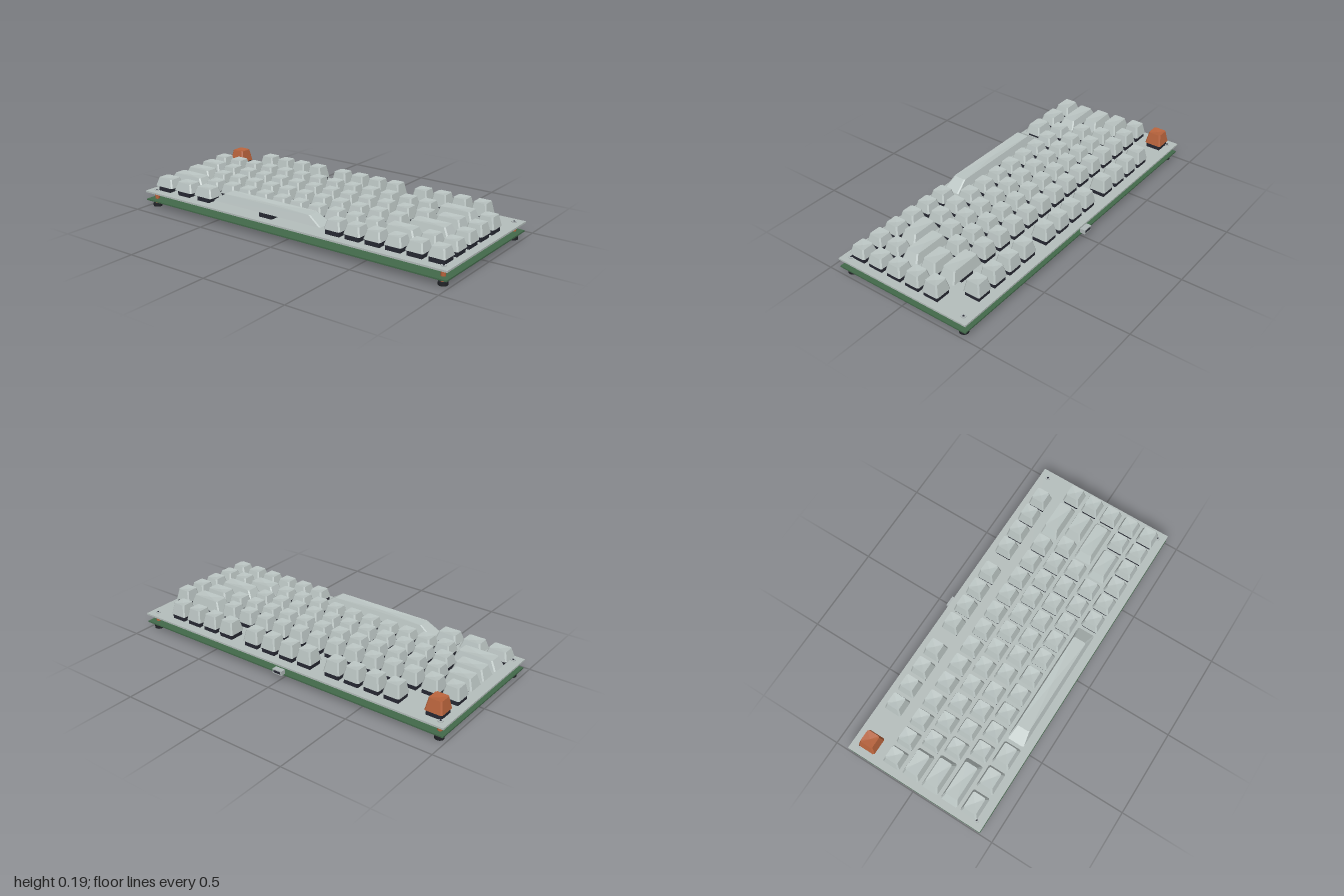
import * as THREE from 'three';

const mat = (name, color) => {
  const m = new THREE.MeshStandardMaterial({ color });
  m.name = name;
  return m;
};

const U = 0.1215; // key pitch
const CAP_BASE = 0.123;

// Tapered keycap: chamfered rectangle lofted to a smaller one, with a dished top
function capGeometry(width, depth, height) {
  const ring = (hx, hz, c, y) => [
    [hx, y, hz - c], [hx, y, c - hz], [hx - c, y, -hz], [c - hx, y, -hz],
    [-hx, y, c - hz], [-hx, y, hz - c], [c - hx, y, hz], [hx - c, y, hz],
  ];
  const low = ring(width / 2, depth / 2, 0.007, 0);
  const high = ring(width * 0.4 - 0.003, depth * 0.37, 0.007, height);
  const dish = [0, height - 0.005, 0];
  const floor = [0, 0, 0];
  const pos = [];
  for (let i = 0; i < 8; i++) {
    const j = (i + 1) % 8;
    const tris = [
      low[i], low[j], high[j], low[i], high[j], high[i],
      high[i], high[j], dish, low[j], low[i], floor,
    ];
    tris.forEach((p) => pos.push(...p));
  }
  const g = new THREE.BufferGeometry();
  g.setAttribute('position', new THREE.Float32BufferAttribute(pos, 3));
  g.computeVertexNormals();
  return g;
}

export function createModel() {
  const root = new THREE.Group();
  root.name = 'keyboard';

  const capGrey = mat('keycap grey', 0xbac4c2);
  const plateGrey = mat('plate grey', 0xb4bdbb);
  const copper = mat('copper orange', 0xb8633c);
  const green = mat('circuit board green', 0x42694a);
  const dark = mat('switch black', 0x262832);
  const rubber = mat('rubber black', 0x202226);
  const steel = mat('steel', 0xb0b8b8);

  const add = (name, geo, material, x, y, z, parent = root) => {
    const m = new THREE.Mesh(geo, material);
    m.name = name;
    m.position.set(x, y, z);
    parent.add(m);
    return m;
  };

  // Top plate and circuit board
  add('topPlate', new THREE.BoxGeometry(2, 0.01, 0.834), plateGrey, 0, 0.09, 0.01);
  add('circuitBoard', new THREE.BoxGeometry(1.994, 0.008, 0.828), green, 0, 0.041, 0.011);

  // Corner standoffs, feet and screws
  const post = new THREE.CylinderGeometry(0.013, 0.013, 0.07, 20);
  const foot = new THREE.CylinderGeometry(0.025, 0.025, 0.018, 24);
  const screw = new THREE.CylinderGeometry(0.014, 0.014, 0.004, 20);
  const socket = new THREE.CylinderGeometry(0.006, 0.006, 0.001, 6);
  for (const x of [-0.955, 0.955]) {
    for (const z of [-0.36, 0.381]) {
      const corner = new THREE.Group();
      corner.name = 'cornerSupport';
      corner.position.set(x, 0, z);
      root.add(corner);
      add('standoff', post, copper, 0, 0.05, 0, corner);
      add('foot', foot, rubber, 0, 0.009, 0, corner);
      add('screwHead', screw, steel, 0, 0.097, 0, corner);
      add('screwSocket', socket, dark, 0, 0.0995, 0, corner);
    }
  }

  // Cable port at the back edge
  add('portShell', new THREE.BoxGeometry(0.06, 0.026, 0.03), steel, 0, 0.057, -0.411);
  for (const z of [-0.4261, -0.3959]) {
    add('portOpening', new THREE.BoxGeometry(0.046, 0.014, 0.001), dark, 0, 0.057, z);
  }

  // Key rows, back to front: [z, cap top height, key widths in units]; negative = gap
  const ones = (n) => Array(n).fill(1);
  const rows = [
    [-0.311, 0.191, [1, -1, ...ones(4), -0.5, ...ones(4), -0.5, ...ones(4)]],
    [-0.153, 0.187, [...ones(13), 2, 1]],
    [-0.031, 0.182, [1.5, ...ones(12), 1.5, 1]],
    [0.090, 0.177, [1.75, ...ones(11), 2.25, 1]],
    [0.212, 0.172, [2.25, ...ones(10), 1.75, 1, 1]],
    [0.333, 0.172, [1.25, 1.25, 1.25, 6.25, ...ones(6)]],
  ];
  const housing = new THREE.BoxGeometry(0.086, 0.03, 0.086);
  rows.forEach(([z, top, widths], r) => {
    const row = new THREE.Group();
    row.name = 'keyRow' + (r + 1);
    root.add(row);
    const cache = {};
    let u = 0;
    widths.forEach((w, k) => {
      if (w > 0) {
        const x = (u + w / 2 - 8) * U;
        cache[w] ??= capGeometry(w * U - 0.02, 0.101, top - CAP_BASE);
        const accent = r === 0 && k === 0;
        add(accent ? 'accentKeycap' : w > 6 ? 'spaceBar' : 'keycap',
          cache[w], accent ? copper : capGrey, x, CAP_BASE, z, row);
        add('switchHousing', housing, dark, x, 0.109, z, row);
      }
      u += Math.abs(w);
    });
  });
  return root;
}
